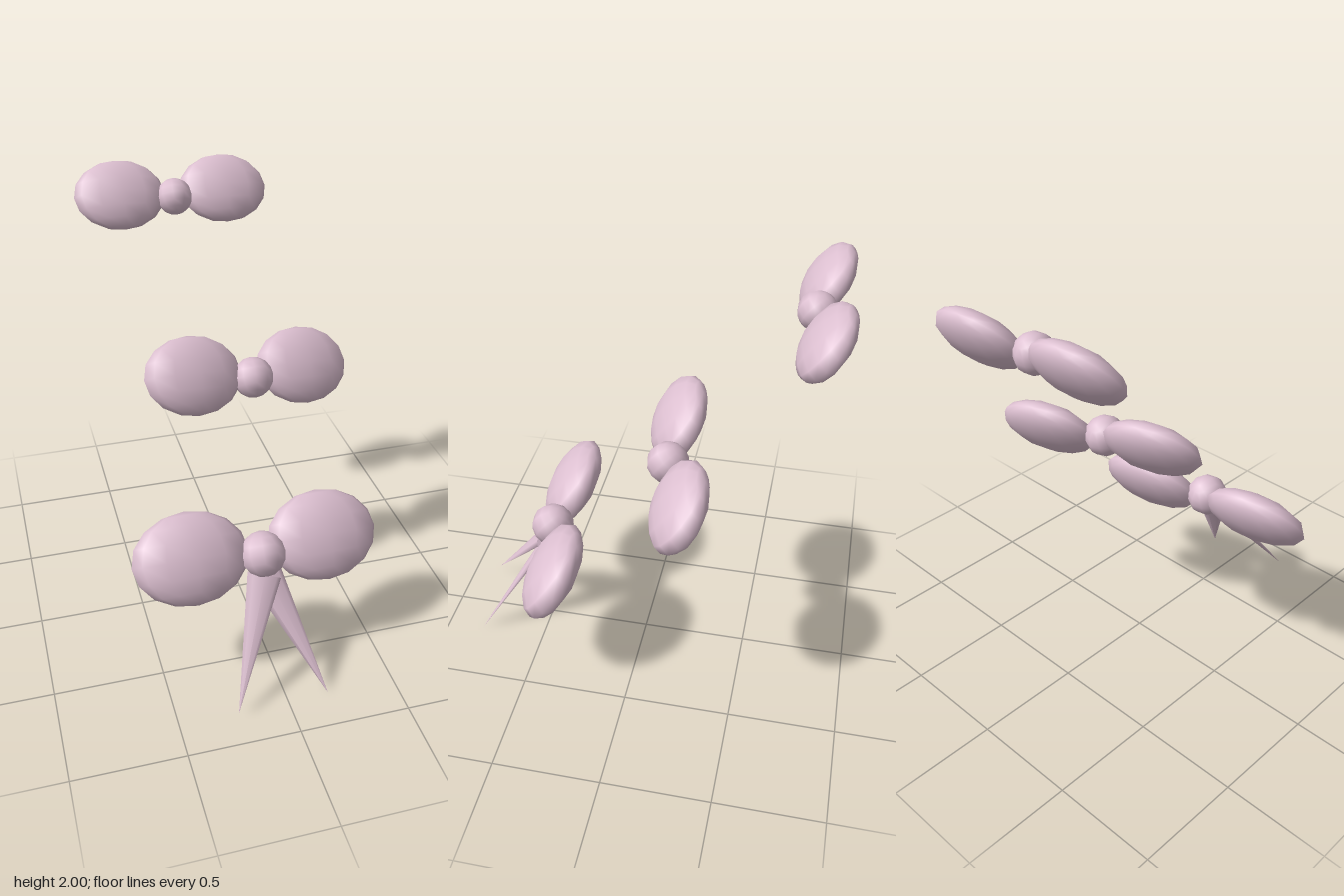
import * as THREE from 'three';

const ribbon = new THREE.MeshStandardMaterial({ color: 0xdcbfd0 });
ribbon.name = 'palePinkRibbon';

const TILT = 0.63; // each bow leans back by this angle
const NORMAL = new THREE.Vector3(0, Math.sin(TILT), Math.cos(TILT));
const vec = (p) => new THREE.Vector3(...p);

function addMesh(parent, name, geometry, position) {
  const mesh = new THREE.Mesh(geometry, ribbon);
  mesh.name = name;
  mesh.position.copy(position);
  parent.add(mesh);
  return mesh;
}

// Rotation whose x axis runs along `across` and whose z axis faces out of the bow
function facing(across) {
  const x = across.clone().normalize();
  const y = NORMAL.clone().cross(x).normalize();
  return new THREE.Matrix4().makeBasis(x, y, x.clone().cross(y));
}

// Two flattened loops and a round knot
function makeBow({ name, right, left, knot, radius, size }) {
  const bow = new THREE.Group();
  bow.name = name;
  const r = vec(right), l = vec(left);
  const turn = facing(l.clone().sub(r));
  for (const [label, p] of [['rightLoop', r], ['leftLoop', l]]) {
    const loop = addMesh(bow, label, new THREE.SphereGeometry(1, 12, 8), p);
    loop.scale.set(0.27 * size, 0.207 * size, 0.1 * size);
    loop.quaternion.setFromRotationMatrix(turn);
  }
  const ball = addMesh(bow, 'knot', new THREE.SphereGeometry(radius, 10, 8), vec(knot));
  ball.quaternion.setFromRotationMatrix(turn);
  return bow;
}

// Flat pointed ribbon end from the knot to its tip
function addTail(bow, name, base, tip) {
  const a = vec(base), b = vec(tip);
  const y = b.clone().sub(a);
  const length = y.length();
  y.normalize();
  const x = y.clone().cross(NORMAL).normalize();
  const tail = addMesh(bow, name, new THREE.ConeGeometry(0.078, length, 8), a.add(b).multiplyScalar(0.5));
  tail.scale.z = 0.3;
  tail.quaternion.setFromRotationMatrix(new THREE.Matrix4().makeBasis(x, y, x.clone().cross(y)));
}

export function createModel() {
  const model = new THREE.Group();
  model.name = 'ribbonBows';

  const lower = makeBow({
    name: 'lowerBow', size: 1, radius: 0.104,
    right: [-0.345, 0.606, 0.456], left: [0.285, 0.562, 0.39], knot: [-0.022, 0.578, 0.475],
  });
  addTail(lower, 'rightTail', [-0.03, 0.5, 0.525], [-0.24, 0.04, 0.862]);
  addTail(lower, 'leftTail', [-0.02, 0.49, 0.505], [0.188, 0.005, 0.818]);

  const middle = makeBow({
    name: 'middleBow', size: 0.9, radius: 0.096,
    right: [-0.185, 1.19, -0.115], left: [0.37, 1.115, -0.218], knot: [0.1, 1.138, -0.12],
  });

  const upper = makeBow({
    name: 'upperBow', size: 0.8, radius: 0.085,
    right: [-0.38, 1.86, -0.718], left: [0.125, 1.838, -0.752], knot: [-0.125, 1.838, -0.695],
  });

  model.add(lower, middle, upper);
  return model;
}
